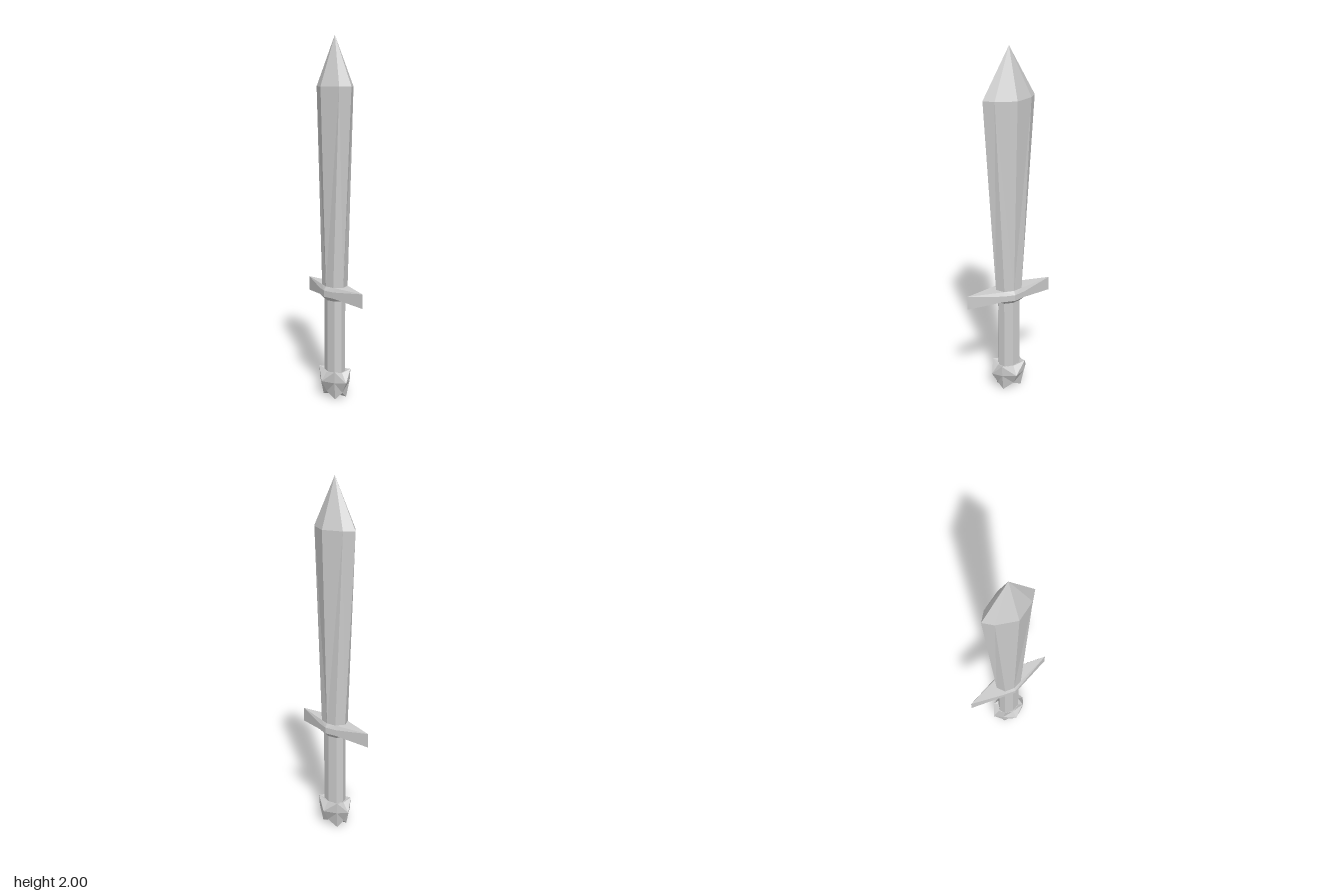
import * as THREE from 'three';

const material = new THREE.MeshStandardMaterial({ color: 0xcccccc, flatShading: true, side: THREE.DoubleSide });

// Eight-cornered ring, mirrored in x and z. Each argument is [x, y, z]:
// side = corner on x axis, diag = diagonal corner, edge = corner on z axis.
function ring(side, diag, edge) {
  const [s, d, e] = [side, diag, edge];
  return [
    [s[0], s[1], 0], [d[0], d[1], d[2]], [0, e[1], e[2]], [-d[0], d[1], d[2]],
    [-s[0], s[1], 0], [-d[0], d[1], -d[2]], [0, e[1], -e[2]], [d[0], d[1], -d[2]],
  ];
}

// Ring lying flat at one height
const flat = (y, sx, dx, dz, ez) => ring([sx, y, 0], [dx, y, dz], [0, y, ez]);
const point = (y) => Array.from({ length: 8 }, () => [0, y, 0]);

// Skin over a stack of rings, bottom to top
function loft(name, rings) {
  const pos = [];
  for (let r = 0; r < rings.length - 1; r++) {
    for (let i = 0; i < 8; i++) {
      const j = (i + 1) % 8;
      const a = rings[r][i], b = rings[r][j], c = rings[r + 1][j], d = rings[r + 1][i];
      // Diagonals alternate so every facet pattern stays mirrored
      const tris = i % 2 ? [a, d, b, b, d, c] : [a, c, b, a, d, c];
      for (let t = 0; t < 6; t += 3) {
        const [p, q, s] = tris.slice(t, t + 3).map((v) => new THREE.Vector3(...v));
        const area = q.clone().sub(p).cross(s.clone().sub(p)).length();
        if (area > 1e-8) pos.push(...p.toArray(), ...q.toArray(), ...s.toArray());
      }
    }
  }
  const geo = new THREE.BufferGeometry();
  geo.setAttribute('position', new THREE.Float32BufferAttribute(pos, 3));
  geo.computeVertexNormals();
  const mesh = new THREE.Mesh(geo, material);
  mesh.name = name;
  return mesh;
}

export function createModel() {
  const sword = new THREE.Group();
  sword.name = 'sword';

  const bladeBase = flat(0.64, 0.06, 0.048, 0.055, 0.083);
  const gripTop = flat(0.56, 0.05, 0.036, 0.05, 0.066);
  const gripBase = flat(0.15, 0.05, 0.036, 0.05, 0.066);

  // Blade widening towards a pointed tip
  sword.add(loft('blade', [bladeBase, flat(1.73, 0.092, 0.046, 0.108, 0.154), point(2)]));

  // Crossguard drawn out to a vertical edge at both ends
  sword.add(loft('crossguard', [
    gripTop,
    ring([0.073, 0.583, 0], [0.055, 0.583, 0.068], [0, 0.56, 0.262]),
    ring([0.073, 0.618, 0], [0.055, 0.618, 0.068], [0, 0.64, 0.262]),
    bladeBase,
  ]));

  // Grip
  sword.add(loft('grip', [gripBase, gripTop]));

  // Faceted pommel, spiked on its axes and notched underneath
  sword.add(loft('pommel', [
    point(0.01),
    ring([0.055, 0.035, 0], [0.037, 0, 0.058], [0, 0.035, 0.075]),
    ring([0.09, 0.1, 0], [0.052, 0.1, 0.072], [0, 0.1, 0.112]),
    ring([0.055, 0.15, 0], [0.054, 0.165, 0.076], [0, 0.15, 0.072]),
    gripBase,
  ]));

  return sword;
}
